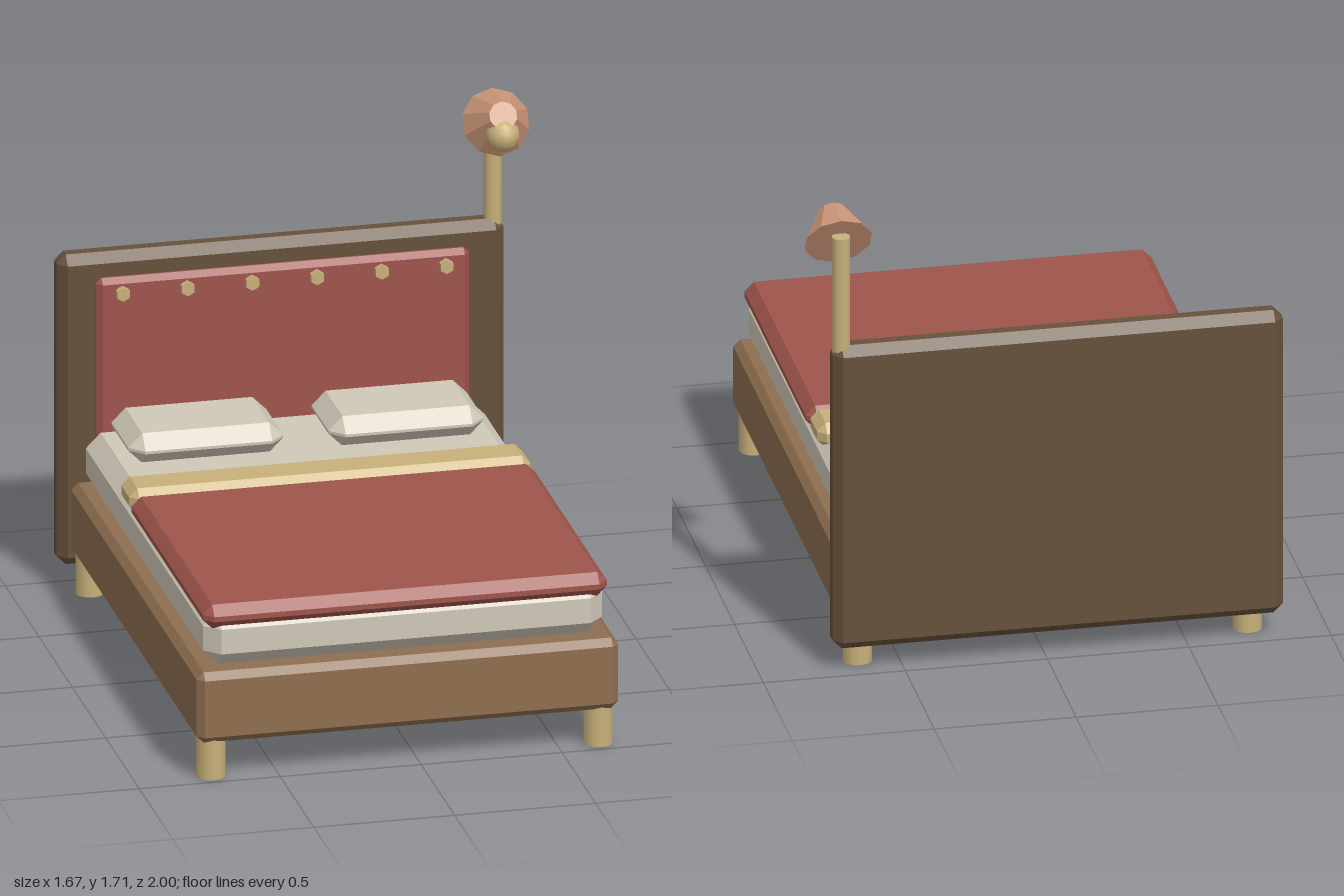
import * as THREE from 'three';
import { ConvexGeometry } from 'three/addons/geometries/ConvexGeometry.js';

const paint = (name, color) => {
  const m = new THREE.MeshStandardMaterial({ color });
  m.name = name;
  return m;
};

// Box between min and max corners, every edge cut by a flat chamfer c
function chamferBox([x0, y0, z0], [x1, y1, z1], c) {
  const center = [(x0 + x1) / 2, (y0 + y1) / 2, (z0 + z1) / 2];
  const half = [(x1 - x0) / 2, (y1 - y0) / 2, (z1 - z0) / 2];
  const points = [];
  for (const sx of [-1, 1]) for (const sy of [-1, 1]) for (const sz of [-1, 1]) {
    const s = [sx, sy, sz];
    for (let axis = 0; axis < 3; axis++) {
      points.push(new THREE.Vector3(...s.map((v, i) =>
        center[i] + v * (i === axis ? half[i] : half[i] - c))));
    }
  }
  return new ConvexGeometry(points);
}

// Faceted normals for low-poly round parts
function faceted(geometry) {
  const g = geometry.toNonIndexed();
  g.computeVertexNormals();
  return g;
}

export function createModel() {
  const group = new THREE.Group();
  group.name = 'bed';

  const darkWood = paint('dark wood', 0x66513b);
  const wood = paint('wood', 0x8e6e50);
  const red = paint('red fabric', 0x9e544c);
  const linen = paint('linen', 0xd0c9b9);
  const tan = paint('tan', 0xc8b07a);
  const copper = paint('copper', 0xcc9678);

  const add = (name, geometry, material, x = 0, y = 0, z = 0) => {
    const mesh = new THREE.Mesh(geometry, material);
    mesh.name = name;
    mesh.position.set(x, y, z);
    group.add(mesh);
    return mesh;
  };

  const cx = -0.043; // bed centre line, the lamp sticks out to one side

  // Frame and headboard
  add('headboard', chamferBox([cx - 0.793, 0.09, -1], [cx + 0.793, 1.235, -0.895], 0.033), darkWood);
  add('frame', chamferBox([cx - 0.748, 0.14, -0.94], [cx + 0.748, 0.4, 1], 0.025), wood);
  add('headboardPanel', chamferBox([cx - 0.662, 0.48, -0.925], [cx + 0.662, 1.152, -0.868], 0.02), red);

  // Row of studs
  const studGeo = faceted(new THREE.CylinderGeometry(0.026, 0.026, 0.03, 6));
  studGeo.rotateX(Math.PI / 2);
  for (let i = 0; i < 6; i++) {
    add('stud', studGeo, tan, cx + (i - 2.5) * 0.2295, 1.1, -0.861);
  }

  // Legs
  const legGeo = new THREE.CylinderGeometry(0.052, 0.052, 0.17, 12);
  for (const side of [-1, 1]) for (const z of [0.93, -0.873]) {
    add('leg', legGeo, tan, cx + side * 0.687, 0.085, z);
  }

  // Bedding
  add('mattress', chamferBox([cx - 0.708, 0.4, -0.9], [cx + 0.708, 0.597, 0.957], 0.053), linen);
  add('blanket', chamferBox([cx - 0.717, 0.545, -0.162], [cx + 0.717, 0.632, 0.97], 0.034), red);
  add('blanketFold', chamferBox([cx - 0.712, 0.55, -0.33], [cx + 0.712, 0.642, -0.155], 0.03), tan);
  for (const side of [-1, 1]) {
    const px = cx + side * 0.355;
    add('pillow', chamferBox([px - 0.275, 0.593, -0.843], [px + 0.275, 0.703, -0.492], 0.05), linen);
  }

  // Reading lamp on the left post
  const lx = 0.716;
  add('lampPole', new THREE.CylinderGeometry(0.032, 0.032, 0.44, 12), tan, lx, 1.42, -0.948);
  const shade = add('lampShade', faceted(new THREE.CylinderGeometry(0.05, 0.121, 0.13, 10)),
    copper, lx, 1.633, -0.844);
  shade.rotation.x = 1.04;
  add('lampBulb', new THREE.SphereGeometry(0.06, 12, 8), tan, lx, 1.592, -0.797);

  return group;
}
